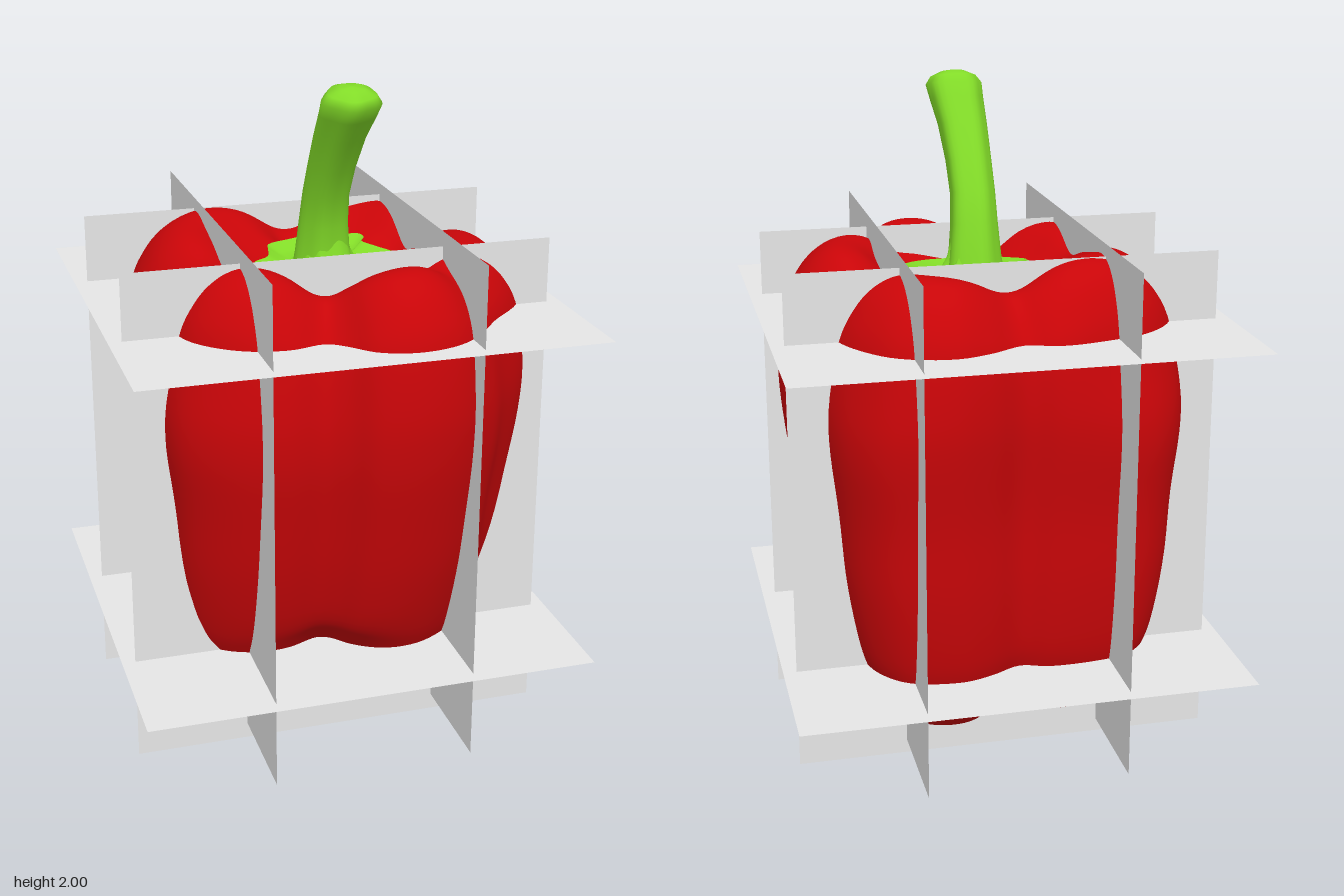
import * as THREE from 'three';

const V3 = (x, y, z) => new THREE.Vector3(x, y, z);
const smooth = THREE.MathUtils.smoothstep;

// Skins a stack of closed rings (bottom to top) with smooth normals
function loft(rings) {
  const n = rings[0].length;
  const positions = rings.flat().flatMap((p) => [p.x, p.y, p.z]);
  const index = [];
  for (let i = 0; i < rings.length - 1; i++) {
    for (let j = 0; j < n; j++) {
      const k = (j + 1) % n;
      const a = i * n + j, b = i * n + k, c = a + n, d = b + n;
      index.push(a, c, b, b, c, d);
    }
  }
  const geometry = new THREE.BufferGeometry();
  geometry.setAttribute('position', new THREE.Float32BufferAttribute(positions, 3));
  geometry.setIndex(index);
  geometry.computeVertexNormals();
  return geometry;
}

// Closed smooth outline in the xz plane
function closedOutline(points, count) {
  const curve = new THREE.CatmullRomCurve3(points.map(([x, z]) => V3(x, 0, z)), true, 'centripetal');
  return curve.getPoints(count).slice(0, count);
}

const CX = 0.03, CZ = 0.04;

// Cross-section at the shoulder
const bodyOutline = [
  [-0.02, -0.45], [0.09, -0.5], [0.2, -0.525], [0.35, -0.48], [0.44, -0.38], [0.49, -0.27],
  [0.515, -0.13], [0.56, -0.02], [0.585, 0.13], [0.55, 0.27], [0.435, 0.4], [0.365, 0.49],
  [0.255, 0.577], [0.13, 0.605], [0.02, 0.577], [-0.05, 0.515], [-0.105, 0.485], [-0.21, 0.495],
  [-0.34, 0.455], [-0.45, 0.35], [-0.49, 0.215], [-0.505, 0.055], [-0.525, -0.125], [-0.49, -0.29],
  [-0.39, -0.395], [-0.27, -0.44], [-0.12, -0.47],
];

// Radius factor and height, from the bottom dimple to the stem basin
const bodyProfile = [
  [0, 0.27], [0.12, 0.255], [0.28, 0.18], [0.42, 0.12], [0.53, 0.1], [0.63, 0.14], [0.71, 0.2],
  [0.79, 0.3], [0.85, 0.4], [0.93, 0.6], [0.98, 0.8], [1.03, 1.0], [1.042, 1.15], [1, 1.33],
  [0.92, 1.43], [0.82, 1.49], [0.71, 1.515], [0.59, 1.5], [0.46, 1.445], [0.35, 1.41], [0.2, 1.39], [0, 1.39],
];

// Grooves and lobes: angle in degrees, drop at the top, lift at the bottom, swelling of the waist, width
const ripples = [
  [-96, 0.07, 0.05, 0, 0.3], [-18, 0.06, 0, 0, 0.27], [-3, 0, 0.08, 0, 0.27], [50, 0.045, 0, 0.025, 0.2],
  [101, 0, 0.17, 0, 0.48], [107, 0.09, 0, 0.05, 0.3], [173, 0.05, 0.02, 0.03, 0.3],
  [-132, -0.02, 0, 0.08, 0.35], [143, 0, 0.02, 0.06, 0.35], [-48, 0, 0, 0.05, 0.3],
];

function ripple(angle, column) {
  let sum = 0;
  for (const g of ripples) {
    const d = angle - THREE.MathUtils.degToRad(g[0]);
    const wrapped = Math.atan2(Math.sin(d), Math.cos(d));
    sum += g[column] * Math.exp(-((wrapped / g[4]) ** 2));
  }
  return sum;
}

const BASIN_TILT = 0.13;

function bodyGeometry() {
  const outline = closedOutline(bodyOutline, 128);
  const profile = new THREE.SplineCurve(bodyProfile.map(([r, y]) => new THREE.Vector2(r, y))).getPoints(90);
  return loft(profile.map(({ x: r, y }) => outline.map((p) => {
    const dx = p.x - CX, dz = p.z - CZ;
    const angle = Math.atan2(dz, dx);
    const fade = smooth(r, 0.1, 0.55);
    const low = 1 - smooth(y, 0.1, 1);
    const drop = ripple(angle, 1) * smooth(y, 1.2, 1.5) * fade;
    const lift = ripple(angle, 2) * (1 - smooth(y, 0.1, 0.5)) * fade;
    const s = r * (1 + ripple(angle, 3) * (1 - smooth(y, 0.95, 1.33)));
    // The lower body is wider sideways and sits further back
    const x = CX + dx * s * (1 + 0.08 * low) - 0.01 * low;
    const z = CZ + dz * s - 0.06 * low;
    const tilt = BASIN_TILT * (z - 0.05) * (1 - smooth(r, 0.3, 0.6)) * smooth(y, 1, 1.3);
    return V3(x, y - drop + lift - tilt, z);
  })));
}

// Ragged green collar rising into the stem
function calyxGeometry() {
  const outline = closedOutline([
    [-0.115, -0.085], [-0.03, -0.115], [0.04, -0.135], [0.11, -0.118], [0.18, -0.11], [0.185, -0.08],
    [0.17, -0.055], [0.2, -0.01], [0.245, 0.055], [0.225, 0.11], [0.205, 0.18], [0.175, 0.22],
    [0.11, 0.26], [0, 0.265], [-0.08, 0.26], [-0.12, 0.21], [-0.165, 0.15], [-0.165, 0.09],
    [-0.19, 0.035], [-0.14, 0], [-0.125, -0.05],
  ], 105);
  const rings = [[1, 1.445], [0.8, 1.428], [0.6, 1.42], [0.45, 1.435], [0.35, 1.475], [0.27, 1.55]];
  return loft(rings.map(([s, y]) => outline.map((p) => {
    const z = 0.05 + (p.z - 0.05) * s;
    return V3(0.02 + (p.x - 0.02) * s, y - BASIN_TILT * (z - 0.05), z);
  })));
}

// Leaning, ridged stem: centre x, y, z and radius of each ring
function stemGeometry() {
  const rings = [
    [0.02, 1.38, 0.035, 0.095], [0.017, 1.47, 0.045, 0.08], [0.015, 1.57, 0.06, 0.071],
    [0.012, 1.66, 0.092, 0.067], [0.014, 1.75, 0.138, 0.068], [0.019, 1.85, 0.198, 0.073],
    [0.026, 1.92, 0.247, 0.08], [0.029, 1.96, 0.273, 0.084], [0.03, 1.982, 0.278, 0.068],
    [0.03, 1.996, 0.28, 0.035], [0.03, 2.0, 0.28, 0],
  ];
  const n = 30;
  return loft(rings.map(([x, y, z, r]) => Array.from({ length: n }, (_, j) => {
    const a = (j / n) * Math.PI * 2;
    const rr = r * (1 + 0.05 * Math.cos(5 * a + y * 2));
    const c = Math.cos(a) * rr, s = Math.sin(a) * rr * 0.93;
    return V3(x + c, y - s * 0.22, z + s * 0.97);
  })));
}

export function createModel() {
  const red = new THREE.MeshStandardMaterial({ color: 0xc90508 });
  red.name = 'pepperRed';
  const green = new THREE.MeshStandardMaterial({ color: 0x82db28, side: THREE.DoubleSide });
  green.name = 'stemGreen';
  const grey = new THREE.MeshStandardMaterial({ color: 0xe6e6e6, side: THREE.DoubleSide });
  grey.name = 'planeGrey';

  const model = new THREE.Group();
  model.name = 'slicedPepper';
  const add = (name, geometry, material, parent = model) => {
    const mesh = new THREE.Mesh(geometry, material);
    mesh.name = name;
    parent.add(mesh);
    return mesh;
  };

  add('pepperBody', bodyGeometry(), red);
  add('calyx', calyxGeometry(), green);
  add('stem', stemGeometry(), green);

  // Six section planes crossing the pepper, two per axis
  const planes = new THREE.Group();
  planes.name = 'sectionPlanes';
  model.add(planes);
  for (const x of [-0.295, 0.305]) {
    const side = add('sidePlane', new THREE.PlaneGeometry(1.27, 1.52), grey, planes);
    side.rotation.y = Math.PI / 2;
    side.position.set(x, 0.81, 0);
  }
  for (const [z, y] of [[0.287, 0.763], [-0.29, 0.772]]) {
    add('frontBackPlane', new THREE.PlaneGeometry(1.27, 1.526), grey, planes).position.set(0, y, z);
  }
  for (const y of [0.32, 1.33]) {
    const level = add('levelPlane', new THREE.PlaneGeometry(1.35, 1.35), grey, planes);
    level.rotation.x = -Math.PI / 2;
    level.position.y = y;
  }
  return model;
}
